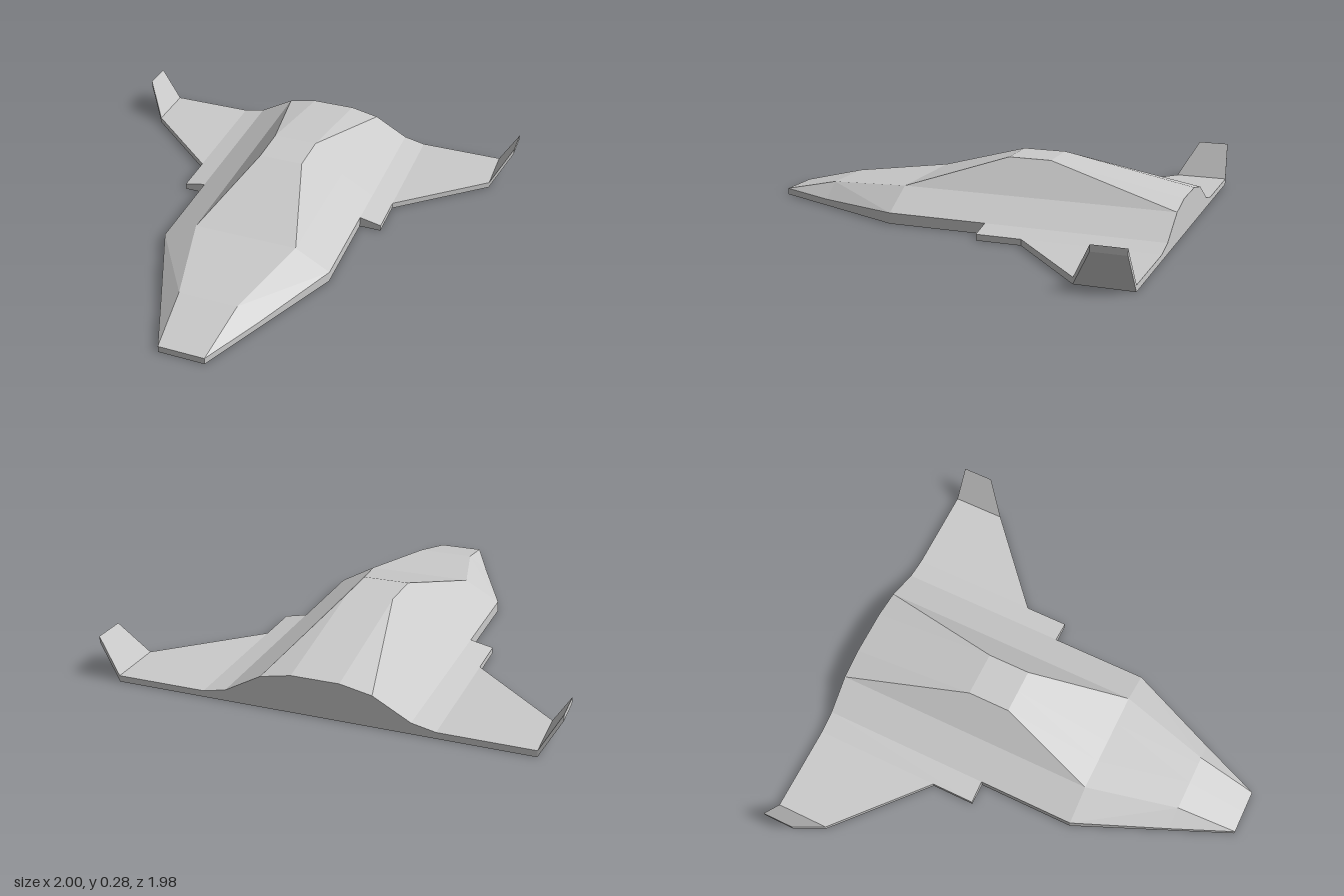
import * as THREE from 'three';

const material = new THREE.MeshStandardMaterial({ color: 0xcccccc, flatShading: true });

// Skins a row of equal-length sections; side = -1 mirrors the part across x.
function loft(name, side, rings, { closed = false, startCap = false, endCap = false, skip, otherDiagonal } = {}) {
  const pos = [];
  const tri = (a, b, c) => {
    const area = new THREE.Triangle(
      ...[a, b, c].map((p) => new THREE.Vector3(...p))).getArea();
    if (area < 1e-7) return;
    for (const [x, y, z] of side > 0 ? [a, b, c] : [a, c, b]) pos.push(side * x, y, z);
  };
  const n = rings[0].length;
  for (let i = 0; i < rings.length - 1; i++) {
    for (let j = 0; j < (closed ? n : n - 1); j++) {
      if (skip?.(i, j)) continue;
      const k = (j + 1) % n;
      const a = rings[i][j], b = rings[i][k], c = rings[i + 1][k], d = rings[i + 1][j];
      if (otherDiagonal?.(i)) { tri(a, b, d); tri(b, c, d); }
      else { tri(a, b, c); tri(a, c, d); }
    }
  }
  const first = rings[0], last = rings[rings.length - 1];
  for (let j = 0; j < n - 2; j++) {
    if (startCap) tri(first[n - 1], first[j + 1], first[j]);
    if (endCap) tri(last[n - 1], last[j], last[j + 1]);
  }
  const geometry = new THREE.BufferGeometry();
  geometry.setAttribute('position', new THREE.Float32BufferAttribute(pos, 3));
  geometry.computeVertexNormals();
  const mesh = new THREE.Mesh(geometry, material);
  mesh.name = name;
  return mesh;
}

// Hull sections, nose to tail: z, then [x, y] of roof edge, shoulder and lower edge
const hullSections = [
  [0.988, [0.105, 0.03], [0.105, 0.03], [0.105, 0.03]],
  [0.705, [0.105, 0.097], [0.135, 0.097], [0.225, 0.03]],
  [0.28, [0.105, 0.14], [0.243, 0.14], [0.405, 0.05]],
  [-0.18, [0.105, 0.285], [0.243, 0.14], [0.405, 0.05]],
  [-0.38, [0.105, 0.285], [0.243, 0.14], [0.405, 0.05]],
  [-0.988, [0.105, 0.168], [0.243, 0.14], [0.405, 0.05]],
];
const hullRings = hullSections.map(([z, roof, shoulder, edge]) =>
  [[0, roof[1]], roof, shoulder, edge, [edge[0], 0], [0, 0]].map(([x, y]) => [x, y, z]));

// Wing sections, root to tip: x, front z, back z, top y, bottom y
const wingRing = ([x, front, back, top, bottom]) =>
  [[x, top, back], [x, top, front], [x, bottom, front], [x, bottom, back]];
const wingRings = [
  [0.405, -0.18, -0.988, 0.05, 0],
  [0.508, -0.18, -0.988, 0.028, 0],
  [0.508, -0.385, -0.988, 0.028, 0],
  [0.91, -0.74, -0.988, 0.028, 0],
].map(wingRing);
const wingletRings = [
  [0.91, -0.74, -0.988, 0.028, 0],
  [1, -0.83, -0.975, 0.193, 0.165],
].map(wingRing);

export function createModel() {
  const model = new THREE.Group();
  model.name = 'spacecraft';
  for (const [label, side] of [['left', 1], ['right', -1]]) {
    model.add(
      // The side wall is left open where the wing joins
      loft(`${label}Hull`, side, hullRings, {
        startCap: true, endCap: true,
        skip: (i, j) => i >= 3 && j === 3,
        otherDiagonal: (i) => i === 2,
      }),
      loft(`${label}Wing`, side, wingRings, { closed: true }),
      // Upturned wing tip
      loft(`${label}Winglet`, side, wingletRings, { closed: true, endCap: true }),
    );
  }
  return model;
}
